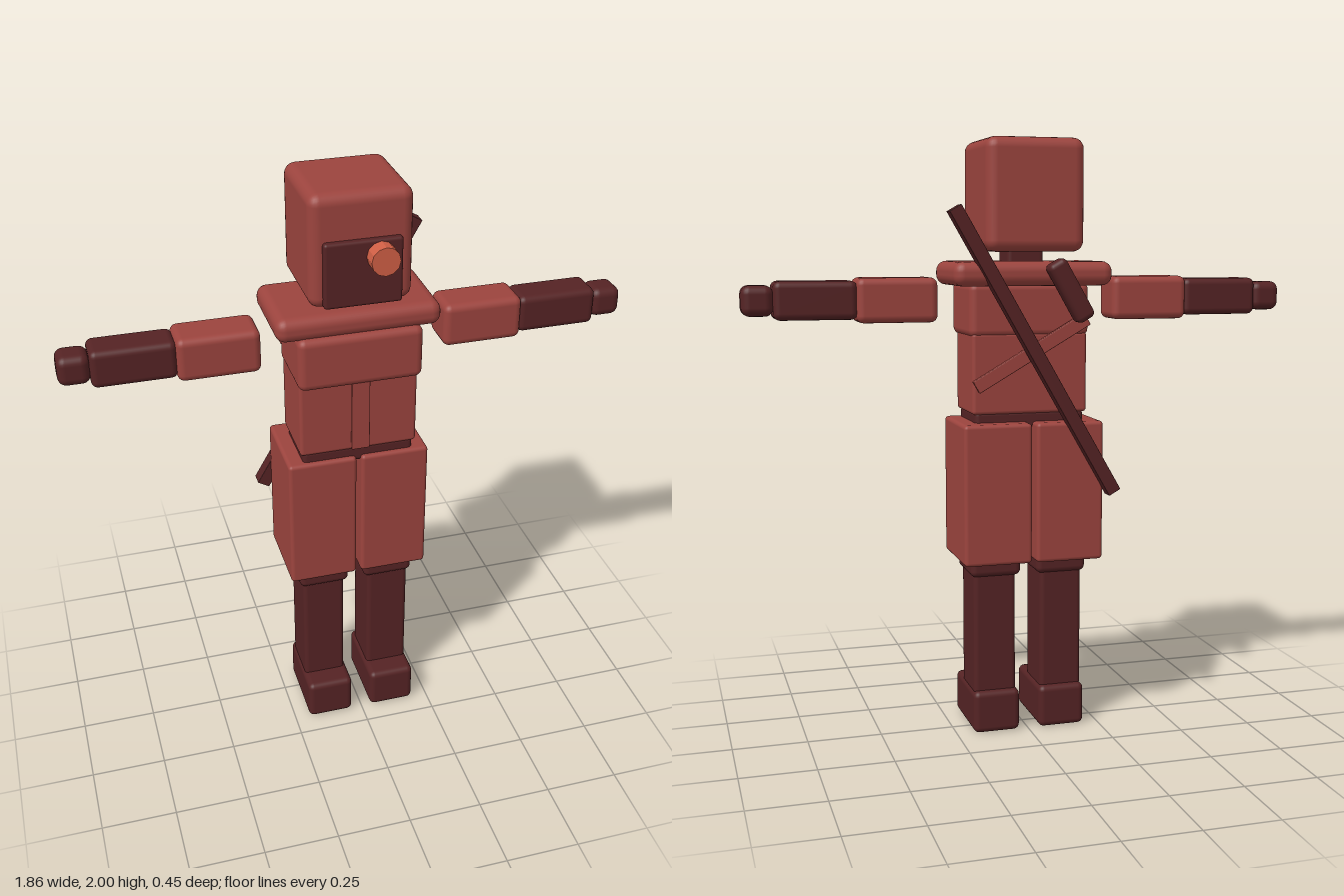
import * as THREE from 'three';
import { RoundedBoxGeometry } from 'three/addons/geometries/RoundedBoxGeometry.js';

export function createModel() {
  const model = new THREE.Group();
  model.name = 'armouredFigure';

  const mat = (name, color, flatShading = false) => {
    const m = new THREE.MeshStandardMaterial({ color, flatShading });
    m.name = name;
    return m;
  };
  const red = mat('armourRed', 0x9c443e);
  const dark = mat('darkMaroon', 0x552324);
  const orange = mat('lensOrange', 0xd05f45, true);

  // Rounded block given by its [min, max] range on each axis
  const block = (name, material, x, y, z, radius, parent = model) => {
    const size = [x, y, z].map(([a, b]) => b - a);
    const mesh = new THREE.Mesh(new RoundedBoxGeometry(...size, 3, radius), material);
    mesh.position.set(...[x, y, z].map(([a, b]) => (a + b) / 2));
    mesh.name = name;
    parent.add(mesh);
    return mesh;
  };

  // Head, mask and single eye lens
  block('head', red, [-0.167, 0.163], [1.635, 2], [-0.177, 0.156], 0.036);
  block('mask', dark, [-0.127, 0.122], [1.642, 1.855], [0.06, 0.176], 0.01);
  const lens = new THREE.Mesh(new THREE.CylinderGeometry(0.046, 0.046, 0.08, 12), orange);
  lens.name = 'eyeLens';
  lens.rotation.x = Math.PI / 2;
  lens.position.set(0.051, 1.803, 0.188);
  model.add(lens);
  block('neck', dark, [-0.064, 0.06], [1.57, 1.67], [-0.043, 0.077], 0.015);

  // Torso
  block('collar', red, [-0.271, 0.267], [1.524, 1.604], [-0.164, 0.147], 0.034);
  block('chest', red, [-0.207, 0.203], [1.355, 1.535], [-0.1, 0.16], 0.025);
  block('abdomen', red, [-0.2, 0.195], [1.1, 1.37], [-0.096, 0.128], 0.012);
  block('frontStrip', red, [-0.033, 0.028], [1.115, 1.37], [0.142, 0.152], 0.002);
  block('belt', dark, [-0.19, 0.185], [1.05, 1.11], [-0.09, 0.123], 0.015);

  // Arms and legs, mirrored about the body's centre line
  for (const [side, s, cx] of [['left', 1, -0.003], ['right', -1, -0.003]]) {
    const span = (a, b) => (s > 0 ? [cx + a, cx + b] : [cx - b, cx - a]);
    const arm = new THREE.Group();
    arm.name = side + 'Arm';
    block('upperArm', red, span(0.302, 0.569), [1.406, 1.552], [-0.064, 0.082], 0.024, arm);
    block('forearm', dark, span(0.564, 0.833), [1.418, 1.543], [-0.054, 0.071], 0.022, arm);
    block('hand', dark, span(0.83, 0.932), [1.431, 1.53], [-0.044, 0.061], 0.028, arm);

    const leg = new THREE.Group();
    leg.name = side + 'Leg';
    block('thighArmour', red, span(0.008, 0.24), [0.6, 1.073], [-0.15, 0.14], 0.013, leg);
    block('knee', dark, span(0.028, 0.202), [0.545, 0.66], [-0.083, 0.112], 0.02, leg);
    block('shin', dark, span(0.044, 0.19), [0.13, 0.57], [-0.07, 0.102], 0.016, leg);
    block('boot', dark, span(0.035, 0.196), [0, 0.146], [-0.092, 0.182], 0.02, leg);
    model.add(arm, leg);
  }

  // Slanted gear carried on the back
  const tilted = (name, material, size, radius, pos) => {
    const mesh = new THREE.Mesh(new RoundedBoxGeometry(...size, 3, radius), material);
    mesh.name = name;
    mesh.position.set(...pos);
    mesh.rotation.z = -Math.PI / 6;
    model.add(mesh);
  };
  tilted('backPole', dark, [0.045, 1.084, 0.047], 0.002, [-0.001, 1.304, -0.164]);
  tilted('backStrap', red, [0.44, 0.045, 0.02], 0.003, [0, 1.305, -0.122]);
  tilted('backCanister', dark, [0.066, 0.216, 0.066], 0.018, [-0.108, 1.51, -0.194]);

  return model;
}
